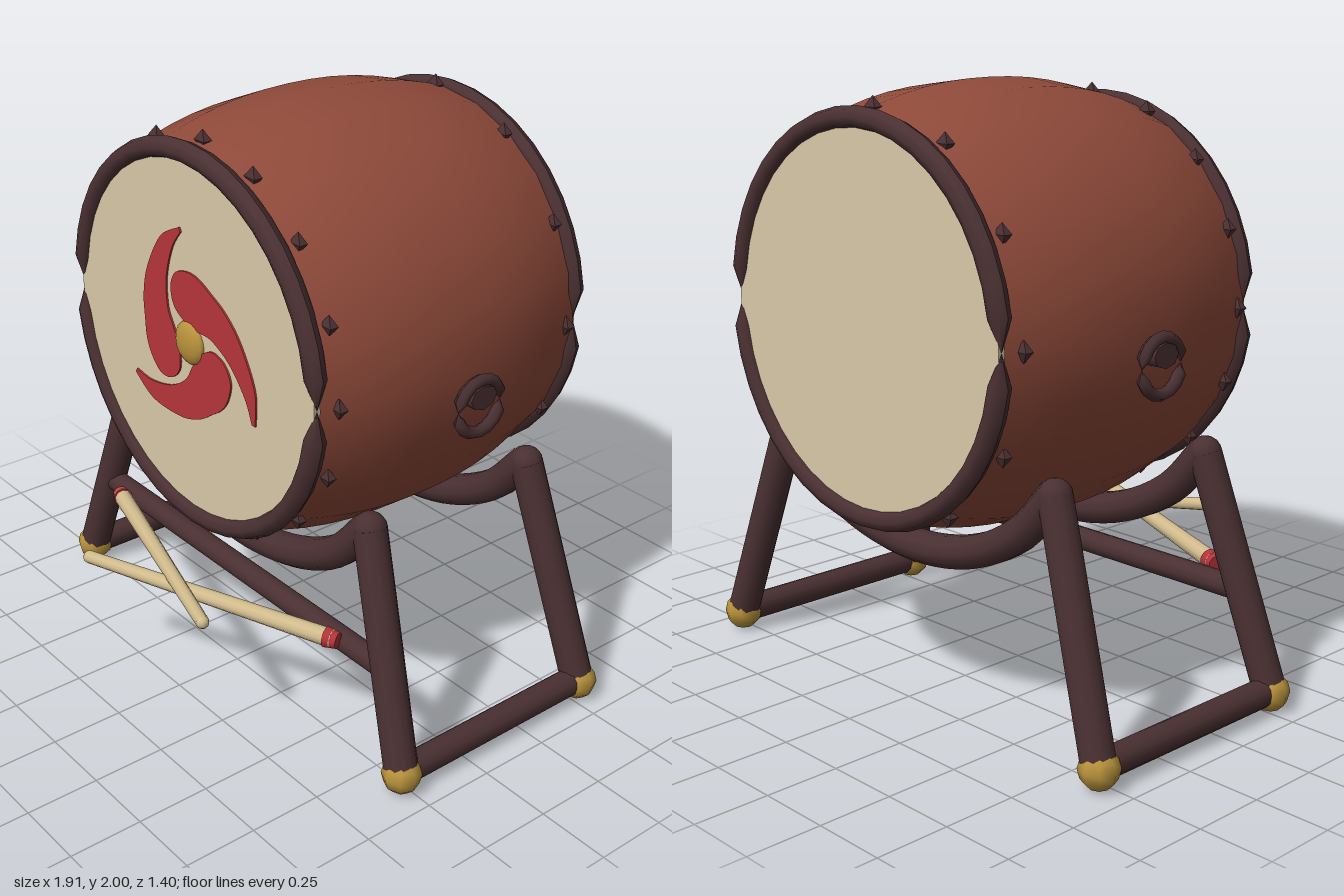
import * as THREE from 'three';

const paint = (name, color) => {
  const m = new THREE.MeshStandardMaterial({ color });
  m.name = name;
  return m;
};
const V = (x, y, z) => new THREE.Vector3(x, y, z);
const CY = 1.28, CZ = -0.13; // drum centre

export function createModel() {
  const redwood = paint('red wood', 0x8f4a3a);
  const dark = paint('dark wood', 0x4a3032);
  const skin = paint('drum skin', 0xd8c8a8);
  const red = paint('red paint', 0xb5343a);
  const gold = paint('gold', 0xb8923c);
  const pale = paint('pale wood', 0xd2bc8e);

  const model = new THREE.Group();
  const add = (name, geo, mat, x = 0, y = 0, z = 0, parent = model) => {
    const m = new THREE.Mesh(geo, mat);
    m.name = name;
    m.position.set(x, y, z);
    parent.add(m);
    return m;
  };
  // Round bar between two points
  const bar = (name, a, b, ra, rb, mat, sides = 12) => {
    const d = b.clone().sub(a);
    const m = add(name, new THREE.CylinderGeometry(rb, ra, d.length(), sides), mat);
    m.position.copy(a).addScaledVector(d, 0.5);
    m.quaternion.setFromUnitVectors(V(0, 1, 0), d.normalize());
    return m;
  };
  // Ring whose tube narrows to a point at both sides
  const pinchedRing = (R, t, sides, segs) => {
    const g = new THREE.TorusGeometry(R, t, sides, segs);
    const p = g.attributes.position;
    for (let i = 0; i < p.count; i++) {
      const a = (i % (segs + 1)) / segs * Math.PI * 2;
      if (Math.abs(Math.sin(a)) < 0.01) p.setXYZ(i, R * Math.cos(a), 0, 0);
    }
    g.computeVertexNormals();
    return g;
  };

  // Barrel body
  const profile = [];
  for (let i = 0; i <= 12; i++) {
    const t = i / 6 - 1;
    profile.push(new THREE.Vector2(0.72 - 0.09 * Math.pow(Math.abs(t), 2.2), t * 0.53));
  }
  add('barrel', new THREE.LatheGeometry(profile, 24).rotateX(Math.PI / 2), redwood, 0, CY, CZ);

  // Skins, rims and studs at both ends
  const studGeo = new THREE.OctahedronGeometry(1).rotateY(Math.PI / 4).scale(0.036, 0.035, 0.022);
  for (const [s, count] of [[1, 16], [-1, 12]]) {
    const end = s > 0 ? 'front' : 'back';
    add(end + 'Skin', new THREE.CylinderGeometry(0.622, 0.622, 0.04, 40).rotateX(Math.PI / 2),
      skin, 0, CY, CZ + s * 0.525);
    add(end + 'Rim', pinchedRing(0.623, 0.035, 8, 40), dark, 0, CY, CZ + s * 0.535);
    const studs = new THREE.Group();
    studs.name = end + 'Studs';
    model.add(studs);
    for (let i = 0; i < count; i++) {
      const a = i / count * Math.PI * 2;
      add('stud', studGeo, dark, 0.65 * Math.cos(a), CY + 0.65 * Math.sin(a), CZ + s * 0.475, studs);
    }
  }

  // Three swirling commas around a gold boss
  const comma = new THREE.Shape();
  comma.moveTo(0.344, -0.16);
  comma.splineThru([[0.344, -0.042], [0.275, 0.09], [0.2, 0.165], [0.127, 0.205], [0.06, 0.235],
    [0, 0.24], [-0.06, 0.22], [-0.088, 0.165], [-0.07, 0.1], [0, 0.06], [0.06, 0.055],
    [0.13, 0.05], [0.22, 0], [0.295, -0.085], [0.328, -0.16]].map(p => new THREE.Vector2(...p)));
  const commaGeo = new THREE.ExtrudeGeometry(comma, { depth: 0.007, bevelEnabled: false, curveSegments: 40 });
  for (let i = 0; i < 3; i++) {
    add('swirl', commaGeo, red, 0, CY, 0.414).rotation.z = i * Math.PI * 2 / 3;
  }
  add('boss', new THREE.SphereGeometry(0.073, 16, 10).scale(1, 1, 0.4), gold, 0.005, CY, 0.415);

  // Side handles
  for (const s of [1, -1]) {
    const side = s > 0 ? 'left' : 'right';
    add(side + 'HandleRing', pinchedRing(0.088, 0.021, 6, 16).rotateY(Math.PI / 2), dark, s * 0.75, 1.18, CZ);
    add(side + 'HandleMount', new THREE.CylinderGeometry(0.04, 0.04, 0.1, 8).rotateZ(Math.PI / 2)
      .scale(1, 1, 1.35), dark, s * 0.72, 1.215, CZ);
  }

  // Stand: cradles, legs, feet
  for (const f of [1, -1]) {
    const end = f > 0 ? 'front' : 'back';
    const zTop = CZ + f * 0.34, zFoot = CZ + f * 0.4, zLow = CZ + f * 0.335;
    const curve = new THREE.CatmullRomCurve3([
      V(-0.645, 0.83, zTop), V(-0.5, 0.675, zTop), V(-0.27, 0.56, zLow), V(0, 0.52, zLow),
      V(0.27, 0.56, zLow), V(0.5, 0.675, zTop), V(0.645, 0.83, zTop)]);
    add(end + 'Cradle', new THREE.TubeGeometry(curve, 28, 0.055, 10), dark);
    for (const s of [1, -1]) {
      const top = V(s * 0.645, 0.825, zTop), foot = V(s * 0.89, 0.065, zFoot);
      bar(end + 'Leg', foot, top, 0.056, 0.056, dark);
      add(end + 'LegJoint', new THREE.SphereGeometry(0.056, 12, 8), dark, top.x, top.y, top.z);
      add(end + 'FootCap', new THREE.SphereGeometry(0.066, 8, 6), gold, foot.x, 0.065, foot.z);
    }
  }
  // Floor rails and front crossbar
  for (const s of [1, -1]) {
    bar('floorRail', V(s * 0.887, 0.068, -0.53), V(s * 0.887, 0.068, 0.27), 0.047, 0.047, dark);
  }
  bar('crossbar', V(-0.77, 0.39, 0.245), V(0.77, 0.39, 0.245), 0.04, 0.04, dark);

  // Crossed drumsticks with red grips
  for (const [butt, tip] of [
    [V(-0.6, 0.42, 0.32), V(0.35, 0.505, 0.64)],
    [V(0.58, 0.42, 0.3), V(-0.255, 0.463, 0.675)]]) {
    bar('drumstick', butt, tip, 0.031, 0.022, pale, 10);
    add('drumstickTip', new THREE.SphereGeometry(0.022, 10, 6), pale, tip.x, tip.y, tip.z);
    const out = butt.clone().sub(tip).normalize();
    bar('drumstickGrip', butt.clone().addScaledVector(out, 0.02), butt.clone().addScaledVector(out, -0.025),
      0.027, 0.035, red, 10);
  }
  return model;
}
